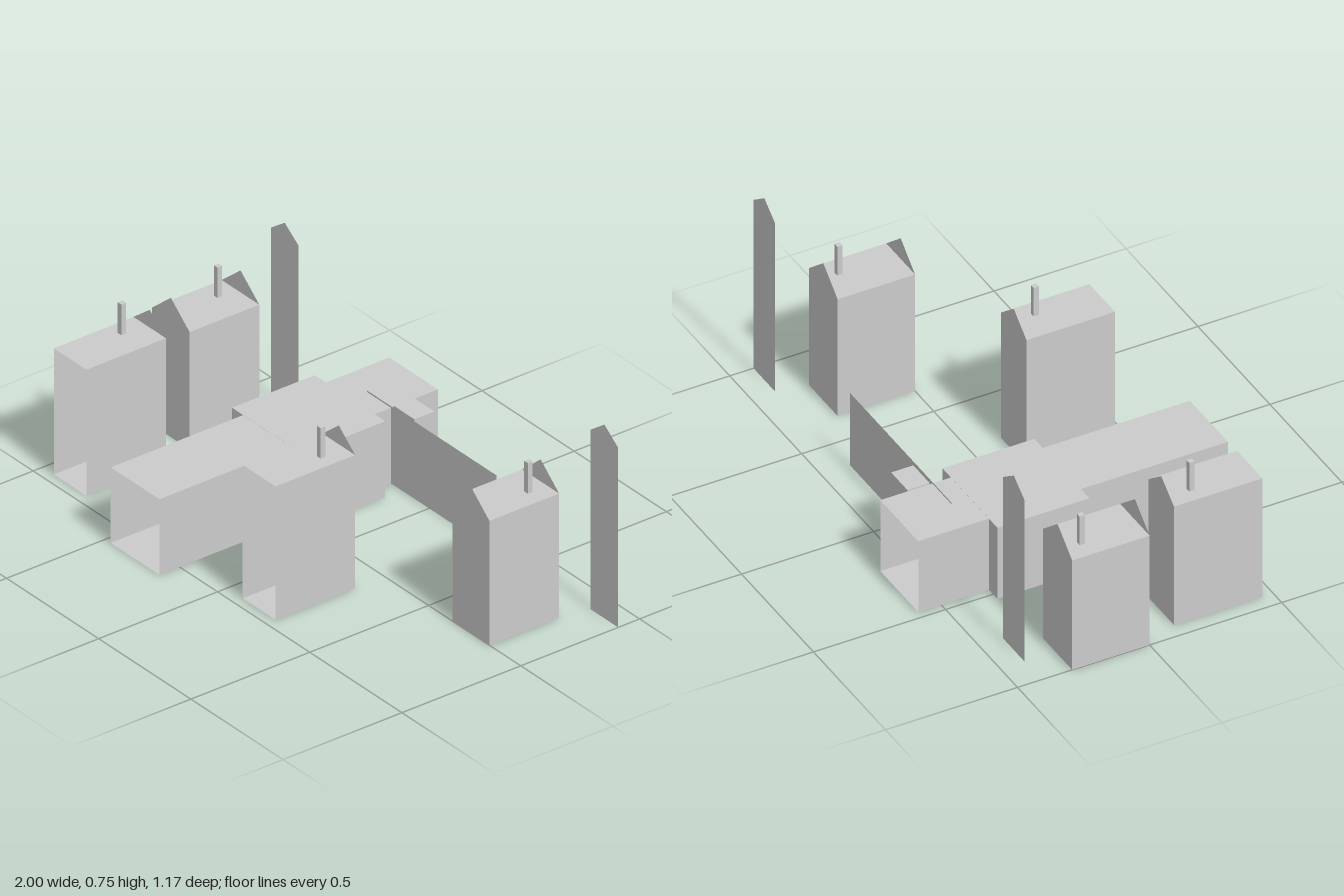
import * as THREE from 'three';

const material = new THREE.MeshStandardMaterial({
  color: 0xcccccc, flatShading: true, side: THREE.DoubleSide,
});

function add(parent, name, geometry) {
  const mesh = new THREE.Mesh(geometry, material);
  mesh.name = name;
  parent.add(mesh);
  return mesh;
}

// Box between two corners; faces listed in `open` are left out (+x -x +y -y +z -z = 0..5)
function block(parent, name, [x0, x1], [y0, y1], [z0, z1], open = []) {
  const g = new THREE.BoxGeometry(x1 - x0, y1 - y0, z1 - z0);
  g.setIndex(Array.from(g.index.array).filter((_, i) => !open.includes(Math.floor(i / 6))));
  g.clearGroups();
  g.translate((x0 + x1) / 2, (y0 + y1) / 2, (z0 + z1) / 2);
  return add(parent, name, g);
}

// Thin upright wall with a pointed top
function gable(parent, name, [x0, x1], eave, peak, z) {
  const shape = new THREE.Shape([
    [x0, 0], [x1, 0], [x1, eave], [(x0 + x1) / 2, peak], [x0, eave],
  ].map(([x, y]) => new THREE.Vector2(x, y)));
  add(parent, name, new THREE.ShapeGeometry(shape).translate(0, 0, z));
}

// Flat-topped house with gabled end walls and a thin chimney
function house(parent, { name, x, z, eave, peak, chimney, frontOpen }) {
  const group = new THREE.Group();
  group.name = name;
  parent.add(group);
  block(group, 'houseWalls', x, [0, eave], z, [4, 5]);
  gable(group, 'backGable', x, eave, peak, z[0]);
  if (!frontOpen) gable(group, 'frontGable', x, eave, peak, z[1]);
  const [cx, cz, top] = chimney;
  block(group, 'chimney', [cx - 0.01, cx + 0.01], [eave, top], [cz - 0.01, cz + 0.01]);
}

export function createModel() {
  const model = new THREE.Group();
  model.name = 'buildingComplex';

  // Four tall houses; the front pair is open towards the front
  const rear = [-0.293, 0], front = [0.125, 0.46];
  [
    { name: 'rearLeftHouse', x: [0.63, 0.83], z: rear, eave: 0.48, peak: 0.565, chimney: [0.758, -0.22, 0.598] },
    { name: 'rearRightHouse', x: [-1, -0.796], z: rear, eave: 0.45, peak: 0.535, chimney: [-0.926, -0.22, 0.567] },
    { name: 'frontLeftHouse', x: [0.085, 0.263], z: front, eave: 0.515, peak: 0.588, chimney: [0.201, 0.22, 0.632], frontOpen: true },
    { name: 'frontRightHouse', x: [-0.94, -0.763], z: front, eave: 0.487, peak: 0.556, chimney: [-0.88, 0.22, 0.605], frontOpen: true },
  ].forEach((spec) => house(model, spec));

  // Low hall: long passage open at both ends, crossed by a wider block
  block(model, 'longHall', [-0.47, -0.206], [0, 0.292], [-0.587, 0.585], [4, 5]);
  block(model, 'crossBlock', [-0.53, -0.148], [0, 0.2925], [-0.32, 0.028]);
  block(model, 'sideAnnex', [-0.206, -0.092], [0, 0.297], [-0.484, -0.4]);

  // Thin boundary wall
  const wall = new THREE.PlaneGeometry(0.703, 0.298).translate(0.0135, 0.149, -0.39);
  add(model, 'boundaryWall', wall);

  // Free-standing pointed panels
  gable(model, 'leftPanel', [0.85, 1], 0.693, 0.748, -0.41);
  gable(model, 'rightPanel', [-0.883, -0.735], 0.665, 0.718, -0.41);

  return model;
}
